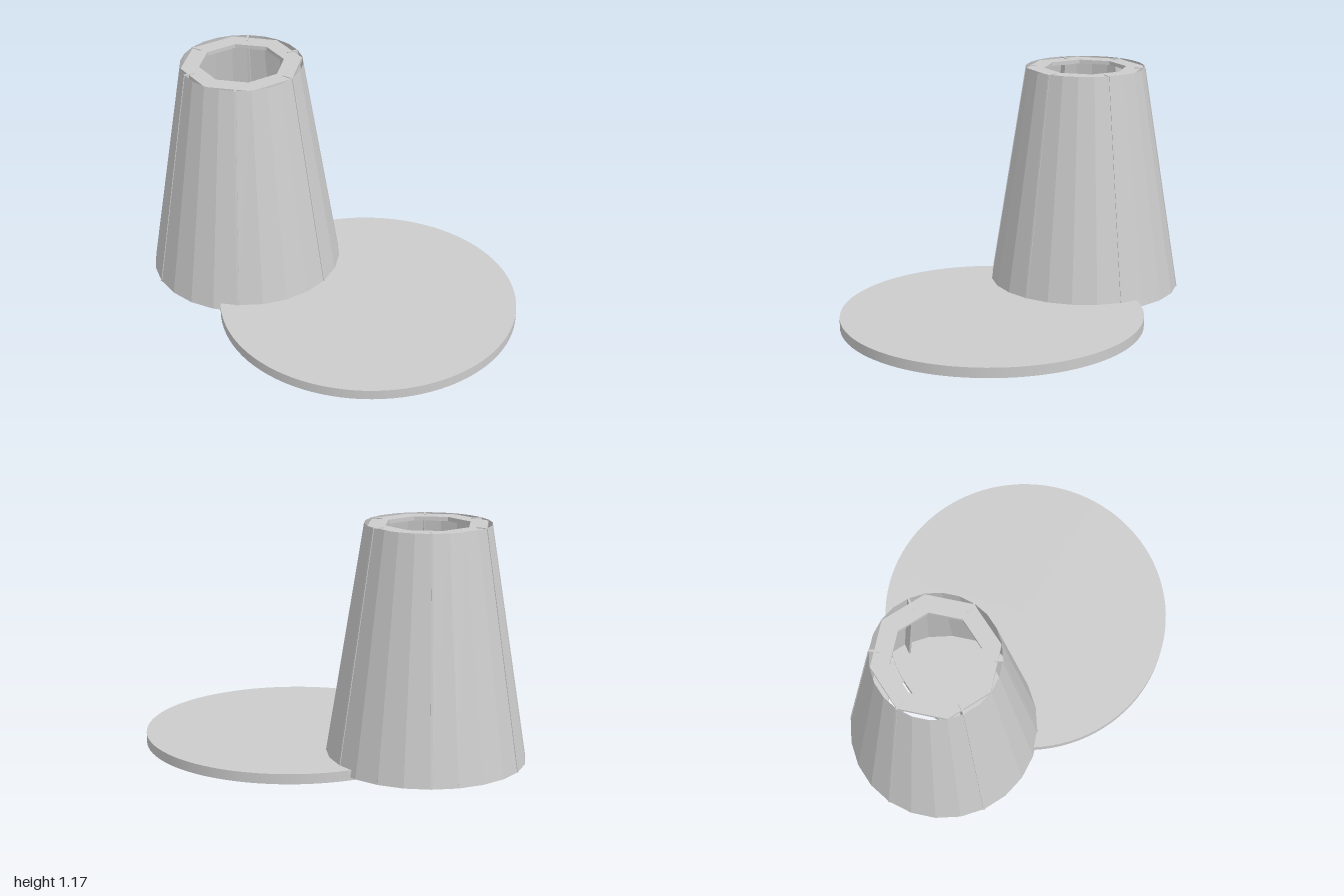
import * as THREE from 'three';

const BOTTOM_Y = 0.015, TOP_Y = 1.175;
const BOTTOM_R = 0.492, TOP_R = 0.305;

function grey(options = {}) {
  return new THREE.MeshStandardMaterial({ color: 0xcccccc, ...options });
}

function addMesh(parent, name, geometry, material) {
  const mesh = new THREE.Mesh(geometry, material);
  mesh.name = name;
  parent.add(mesh);
  return mesh;
}

// Corners of a regular octagon, with a corner on the x axis
function octagon(radius) {
  return Array.from({ length: 8 }, (_, i) => {
    const a = (i * Math.PI) / 4;
    return new THREE.Vector2(radius * Math.cos(a), radius * Math.sin(a));
  });
}

// Flat octagonal ring lying level, its underside at y = 0
function ringGeometry(radius, thickness) {
  const shape = new THREE.Shape(octagon(radius));
  shape.holes.push(new THREE.Path(octagon(radius * 0.7)));
  const geometry = new THREE.ExtrudeGeometry(shape, { depth: thickness, bevelEnabled: false });
  return geometry.rotateX(-Math.PI / 2);
}

export function createModel() {
  const model = new THREE.Group();
  model.name = 'shadeAndBase';

  // Round base plate
  const base = addMesh(model, 'basePlate', new THREE.CylinderGeometry(0.75, 0.75, 0.05, 96), grey());
  base.position.set(0.25, 0.025, 0);

  const shade = new THREE.Group();
  shade.name = 'shade';
  shade.position.x = -0.505;
  model.add(shade);

  // Tapered, faceted skin, open at both ends
  const height = TOP_Y - BOTTOM_Y;
  const skin = addMesh(shade, 'shadeSkin',
    new THREE.CylinderGeometry(TOP_R, BOTTOM_R, height, 24, 1, true),
    grey({ flatShading: true, side: THREE.DoubleSide }));
  skin.position.y = (TOP_Y + BOTTOM_Y) / 2;

  // Octagonal rings that hold the ribs
  const thickness = 0.02;
  addMesh(shade, 'topRing', ringGeometry(TOP_R - 0.002, thickness), grey())
    .position.y = TOP_Y - thickness - 0.004;
  addMesh(shade, 'bottomRing', ringGeometry(BOTTOM_R - 0.002, thickness), grey())
    .position.y = BOTTOM_Y + 0.002;

  // Six thin ribs following the slope of the skin
  const depth = 0.055, width = 0.01, proud = 0.003;
  const profile = new THREE.Shape([
    new THREE.Vector2(BOTTOM_R - depth, BOTTOM_Y),
    new THREE.Vector2(BOTTOM_R + proud, BOTTOM_Y),
    new THREE.Vector2(TOP_R + proud, TOP_Y),
    new THREE.Vector2(TOP_R - depth, TOP_Y),
  ]);
  const ribGeometry = new THREE.ExtrudeGeometry(profile, { depth: width, bevelEnabled: false });
  ribGeometry.translate(0, 0, -width / 2);
  const ribMaterial = grey();
  for (let i = 0; i < 6; i++) {
    addMesh(shade, 'rib', ribGeometry, ribMaterial).rotation.y = (i * Math.PI) / 3;
  }

  return model;
}
